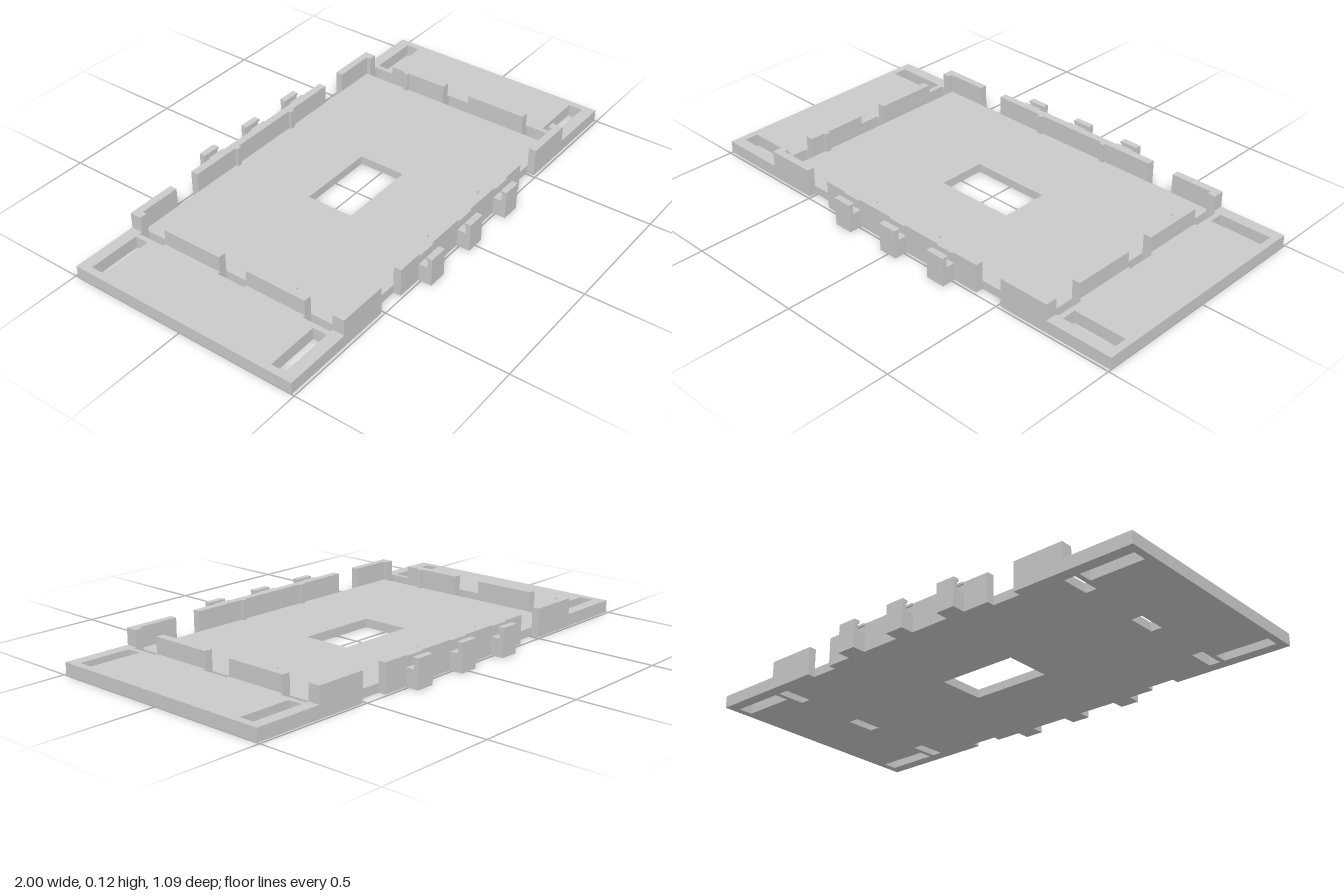
import * as THREE from 'three';

export function createModel() {
  const model = new THREE.Group();
  model.name = 'mountingTray';
  const grey = new THREE.MeshStandardMaterial({ color: 0xcacaca });
  grey.name = 'light grey';

  const FLOOR = 0.035, DECK = 0.05, TOP = 0.116;
  const IN_X = 0.687, WALL_X = 0.72, SLOT_X = 0.732, IN_Z = 0.458, OUT_Z = 0.489;

  const add = (geometry, name, parent = model) => {
    const mesh = new THREE.Mesh(geometry, grey);
    mesh.name = name;
    parent.add(mesh);
    return mesh;
  };
  const box = (name, x0, x1, y0, y1, z0, z1, parent) =>
    add(new THREE.BoxGeometry(x1 - x0, y1 - y0, z1 - z0)
      .translate((x0 + x1) / 2, (y0 + y1) / 2, (z0 + z1) / 2), name, parent);
  const points = (list) => list.map(([x, y]) => new THREE.Vector2(x, y));
  // Holes run anticlockwise so their walls face into the opening
  const rectHole = (x0, x1, z0, z1) =>
    new THREE.Path(points([[x0, z0], [x1, z0], [x1, z1], [x0, z1]]));
  // Horizontal slab from an outline in x and z
  const slab = (name, outline, holes, y0, y1) => {
    const shape = new THREE.Shape(points(outline));
    shape.holes.push(...holes);
    const geometry = new THREE.ExtrudeGeometry(shape, { depth: y1 - y0, bevelEnabled: false });
    return add(geometry.rotateX(-Math.PI / 2).translate(0, y0, 0), name);
  };

  // Openings through the plate
  const slotRows = [[-0.44, -0.322], [-0.061, 0.061], [0.322, 0.44]];
  const longSlots = (s) => [-1, 1].map((t) => {
    const [a, b] = [s * 0.752, s * 0.971].sort((p, q) => p - q);
    const [c, d] = [t * 0.382, t * 0.441].sort((p, q) => p - q);
    return rectHole(a, b, c, d);
  });
  const holes = [rectHole(-0.168, 0.168, -0.1, 0.1), ...longSlots(1), ...longSlots(-1)];
  for (const [z0, z1] of slotRows) {
    holes.push(rectHole(IN_X, SLOT_X, z0, z1), rectHole(-SLOT_X, -IN_X, z0, z1));
  }

  // Base plate, with edge notches beside the long walls
  const edge = [[-1, OUT_Z], [-0.51, OUT_Z], [-0.51, IN_Z], [-0.395, IN_Z], [-0.395, OUT_Z],
    [0.395, OUT_Z], [0.395, IN_Z], [0.51, IN_Z], [0.51, OUT_Z], [1, OUT_Z]];
  slab('basePlate', [...edge, ...edge.map(([x, z]) => [x, -z]).reverse()], holes, 0, FLOOR);

  // Raised end decks, stepped around the inner slots
  for (const s of [-1, 1]) {
    const outline = [[s, -OUT_Z], [s * IN_X, -OUT_Z]];
    for (const [z0, z1] of slotRows) {
      outline.push([s * IN_X, z0], [s * SLOT_X, z0], [s * SLOT_X, z1], [s * IN_X, z1]);
    }
    outline.push([s * IN_X, OUT_Z], [s, OUT_Z]);
    slab('endDeck', outline, longSlots(s), FLOOR, DECK);
  }

  // Hook profile in z and y
  const hookShape = new THREE.Shape(points([[OUT_Z, 0], [0.544, 0], [0.544, TOP], [0.518, TOP],
    [0.518, 0.106], [0.525, 0.106], [0.525, 0.072], [OUT_Z, 0.072]]));

  // One end-for-end half: the second is turned half round
  for (const turn of [0, Math.PI]) {
    const half = new THREE.Group();
    half.name = turn ? 'backHalf' : 'frontHalf';
    half.rotation.y = turn;
    model.add(half);

    box('longWall', -0.395, 0.395, FLOOR, TOP, IN_Z, OUT_Z, half);
    for (const x of [-0.165, 0.165]) {
      box('longWallRib', x - 0.011, x + 0.011, FLOOR, TOP, IN_Z - 0.011, IN_Z, half);
    }

    // Corner walls with short returns
    for (const s of [-1, 1]) {
      const a = s > 0 ? 0.51 : -WALL_X;
      box('cornerWall', a, a + WALL_X - 0.51, FLOOR, TOP, IN_Z, OUT_Z, half);
      const b = s > 0 ? IN_X : -WALL_X;
      box('cornerReturn', b, b + WALL_X - IN_X, FLOOR, TOP, 0.44, IN_Z, half);
    }

    // Side walls, one of them ribbed
    for (const [z0, z1] of [[-0.322, -0.061], [0.061, 0.322]]) {
      box('sideWall', IN_X, WALL_X, FLOOR, TOP, z0, z1, half);
    }
    box('sideWallRib', IN_X - 0.011, IN_X, FLOOR, TOP, -0.259, -0.237, half);

    // Cable hooks and facing lips
    for (const x of [-0.246, 0, 0.246]) {
      const geometry = new THREE.ExtrudeGeometry(hookShape, { depth: 0.08, bevelEnabled: false });
      add(geometry.rotateY(-Math.PI / 2).translate(x + 0.04, 0, 0), 'hook', half);
      box('hookLip', x - 0.04, x + 0.04, 0.106, TOP, OUT_Z, 0.496, half);
    }
  }
  return model;
}
